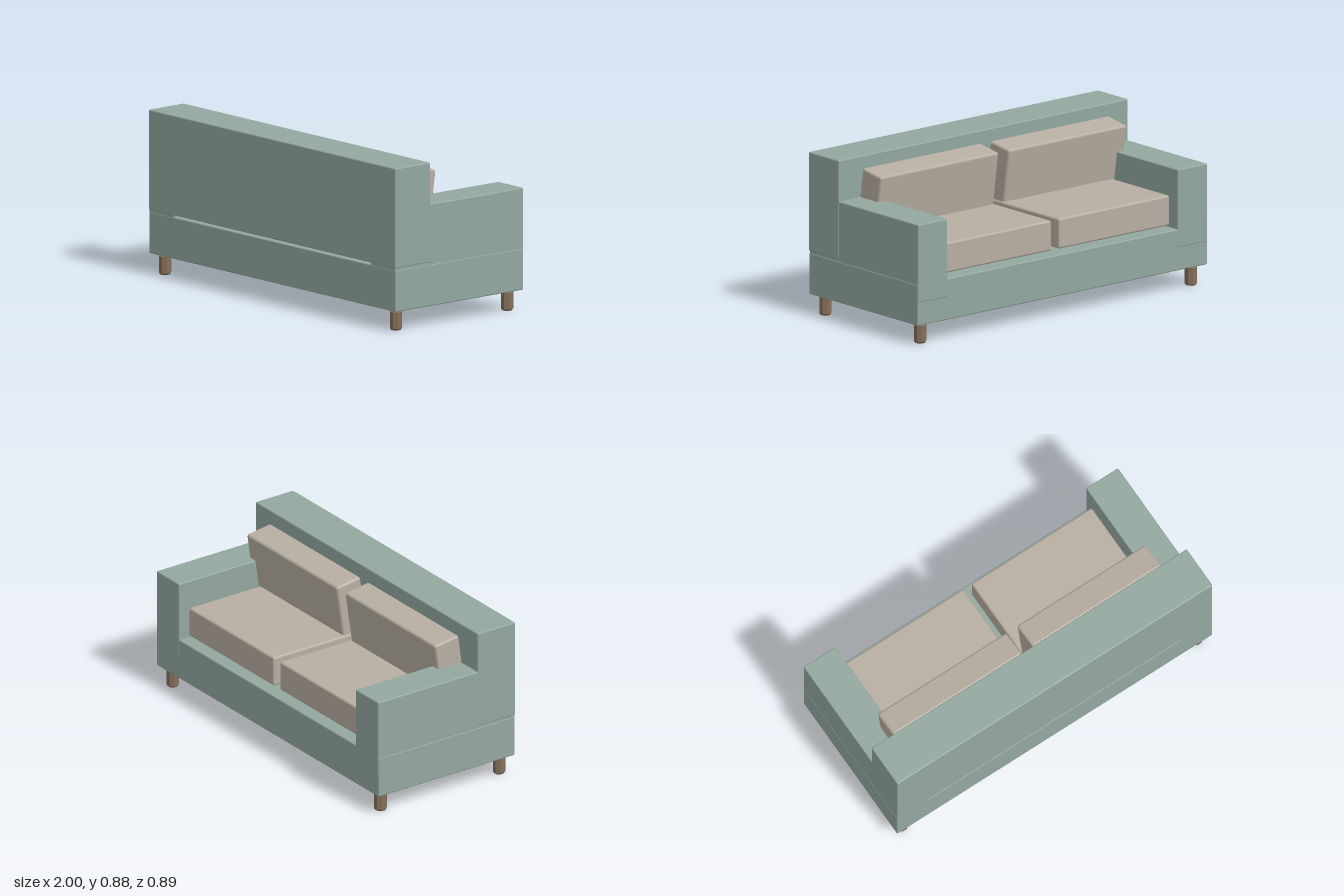
import * as THREE from 'three';
import { RoundedBoxGeometry } from 'three/addons/geometries/RoundedBoxGeometry.js';

const fabric = new THREE.MeshStandardMaterial({ color: 0x93a8a0 });
const cushion = new THREE.MeshStandardMaterial({ color: 0xb8afa3 });
const wood = new THREE.MeshStandardMaterial({ color: 0x846f5a, flatShading: true });

// Softly bevelled block given by its extents on each axis
function block(name, material, [x0, x1], [y0, y1], [z0, z1], bevel) {
  const geometry = new RoundedBoxGeometry(x1 - x0, y1 - y0, z1 - z0, 2, bevel);
  const mesh = new THREE.Mesh(geometry, material);
  mesh.name = name;
  mesh.position.set((x0 + x1) / 2, (y0 + y1) / 2, (z0 + z1) / 2);
  return mesh;
}

export function createModel() {
  const sofa = new THREE.Group();
  sofa.name = 'sofa';

  // Base and backrest, with a thin gap between them
  sofa.add(block('base', fabric, [-1, 1], [0.11, 0.335], [-0.443, 0.443], 0.007));
  sofa.add(block('backrest', fabric, [-1, 1], [0.345, 0.883], [0.2, 0.445], 0.007));

  // Eight-sided leg with chamfered ends
  const legProfile = [[0, 0], [0.027, 0], [0.034, 0.009], [0.034, 0.097], [0.027, 0.105], [0, 0.105]]
    .map(([r, y]) => new THREE.Vector2(r, y));
  const legGeometry = new THREE.LatheGeometry(legProfile, 8, Math.PI / 8);

  for (const [side, s] of [['left', 1], ['right', -1]]) {
    const span = (a, b) => (s > 0 ? [a, b] : [-b, -a]);

    // Armrest sunk into the base
    sofa.add(block(side + 'Armrest', fabric, span(0.795, 0.998), [0.235, 0.66], [-0.445, 0.442], 0.007));

    // Seat cushion
    sofa.add(block(side + 'SeatCushion', cushion, span(0.026, 0.79), [0.345, 0.51], [-0.385, 0.19], 0.012));

    // Back cushion, leaning and overlapping the armrest
    const back = block(side + 'BackCushion', cushion, span(0.034, 0.85), [0.452, 0.812], [0.056, 0.213], 0.014);
    back.rotation.x = -0.145;
    sofa.add(back);

    // Legs
    for (const [end, z] of [['Front', -0.385], ['Back', 0.385]]) {
      const leg = new THREE.Mesh(legGeometry, wood);
      leg.name = side + end + 'Leg';
      leg.position.set(s * 0.935, 0, z);
      sofa.add(leg);
    }
  }
  return sofa;
}
